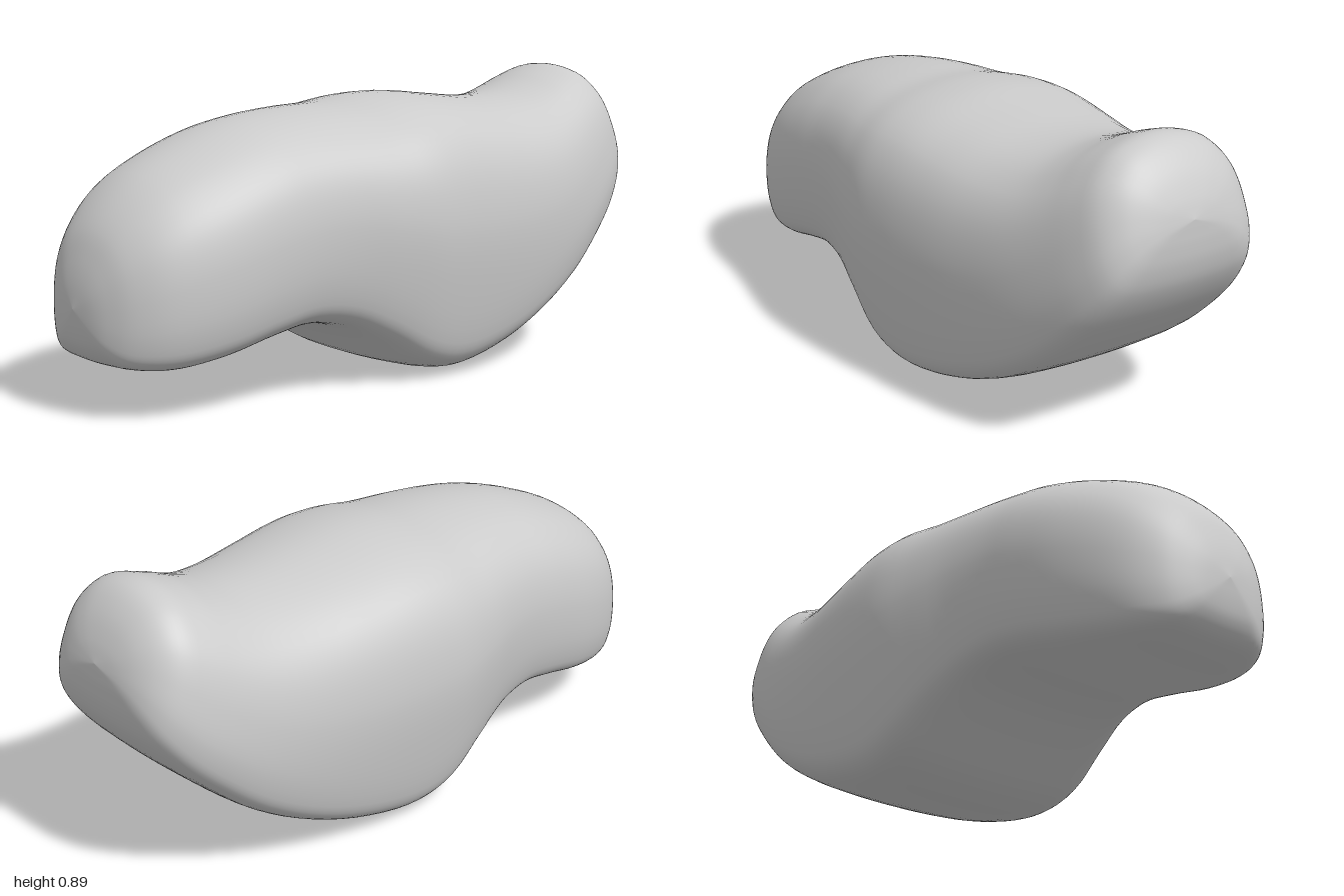
import * as THREE from 'three';

// Stations along the body: underside x, y, top x, y, half width, taper of section
const stations = [
  [-1, 0.3, -1, 0.3, 0, 0.8],
  [-0.99, 0.235, -0.99, 0.37, 0.075, 0.8],
  [-0.975, 0.19, -0.972, 0.435, 0.127, 0.8],
  [-0.94, 0.15, -0.94, 0.51, 0.188, 0.8],
  [-0.88, 0.133, -0.88, 0.585, 0.246, 0.78],
  [-0.8, 0.13, -0.8, 0.65, 0.287, 0.75],
  [-0.67, 0.148, -0.67, 0.713, 0.322, 0.7],
  [-0.52, 0.182, -0.52, 0.765, 0.338, 0.62],
  [-0.39, 0.2, -0.39, 0.79, 0.346, 0.55],
  [-0.26, 0.177, -0.26, 0.803, 0.365, 0.42],
  [-0.13, 0.11, -0.13, 0.81, 0.395, 0.28],
  [0, 0.03, 0, 0.828, 0.418, 0.15],
  [0.12, 0.002, 0.12, 0.832, 0.416, 0.12],
  [0.3, 0.028, 0.28, 0.817, 0.4, 0.22],
  [0.5, 0.1, 0.45, 0.802, 0.373, 0.42],
  [0.68, 0.205, 0.58, 0.808, 0.345, 0.65],
  [0.82, 0.325, 0.68, 0.837, 0.314, 0.88],
  [0.91, 0.42, 0.76, 0.87, 0.286, 1],
  [0.97, 0.51, 0.83, 0.89, 0.252, 1],
  [0.992, 0.575, 0.885, 0.877, 0.21, 1],
  [0.999, 0.63, 0.94, 0.825, 0.155, 1],
  [1, 0.67, 0.98, 0.755, 0.09, 1],
  [1, 0.7, 1, 0.7, 0, 1],
];

// Half sections, from underside centre to top centre: width and height fractions
const fullHalf = [
  [0, 0], [0.35, 0.005], [0.6, 0.018], [0.75, 0.04], [0.83, 0.075], [0.875, 0.125],
  [0.945, 0.3], [1, 0.52], [0.975, 0.68], [0.91, 0.79], [0.79, 0.88], [0.58, 0.945],
  [0.3, 0.985], [0, 1],
];
const taperedHalf = [
  [0, 0], [0.35, 0.005], [0.62, 0.015], [0.79, 0.035], [0.89, 0.075], [0.945, 0.13],
  [0.995, 0.26], [0.985, 0.45], [0.95, 0.58], [0.89, 0.69], [0.79, 0.79], [0.6, 0.905],
  [0.32, 0.975], [0, 1],
];

const curve = (points, closed = false) => new THREE.CatmullRomCurve3(points, closed, 'centripetal');

// Mirror a half section into a closed outline
function outline(half) {
  const mirrored = half.slice(1, -1).reverse().map(([w, h]) => [-w, h]);
  return curve([...half, ...mirrored].map(([w, h]) => new THREE.Vector3(w, h, 0)), true);
}

function loftBody(rings, sides) {
  const under = curve(stations.map(([x, y, , , w]) => new THREE.Vector3(x, y, w)));
  const top = curve(stations.map(([, , x, y, , r]) => new THREE.Vector3(x, y, r)));
  const full = outline(fullHalf), tapered = outline(taperedHalf);

  const positions = [], index = [];
  for (let i = 0; i <= rings; i++) {
    const b = under.getPoint(i / rings), t = top.getPoint(i / rings);
    for (let j = 0; j < sides; j++) {
      const s = full.getPoint(j / sides).lerp(tapered.getPoint(j / sides), t.z);
      positions.push(
        THREE.MathUtils.lerp(b.x, t.x, s.y),
        THREE.MathUtils.lerp(b.y, t.y, s.y),
        s.x * b.z,
      );
      if (i === rings) continue;
      const k = (j + 1) % sides;
      const a = i * sides + j, c = i * sides + k;
      // The end rings shrink to points, so they get single triangles
      if (i > 0) index.push(a, a + sides, c);
      if (i < rings - 1) index.push(a + sides, c + sides, c);
    }
  }
  const geometry = new THREE.BufferGeometry();
  geometry.setAttribute('position', new THREE.Float32BufferAttribute(positions, 3));
  geometry.setIndex(index);
  geometry.computeVertexNormals();
  return geometry;
}

export function createModel() {
  const group = new THREE.Group();
  group.name = 'smoothBody';
  const body = new THREE.Mesh(
    loftBody((stations.length - 1) * 4, 78),
    new THREE.MeshStandardMaterial({ color: 0xcccccc }),
  );
  body.name = 'body';
  group.add(body);
  return group;
}
